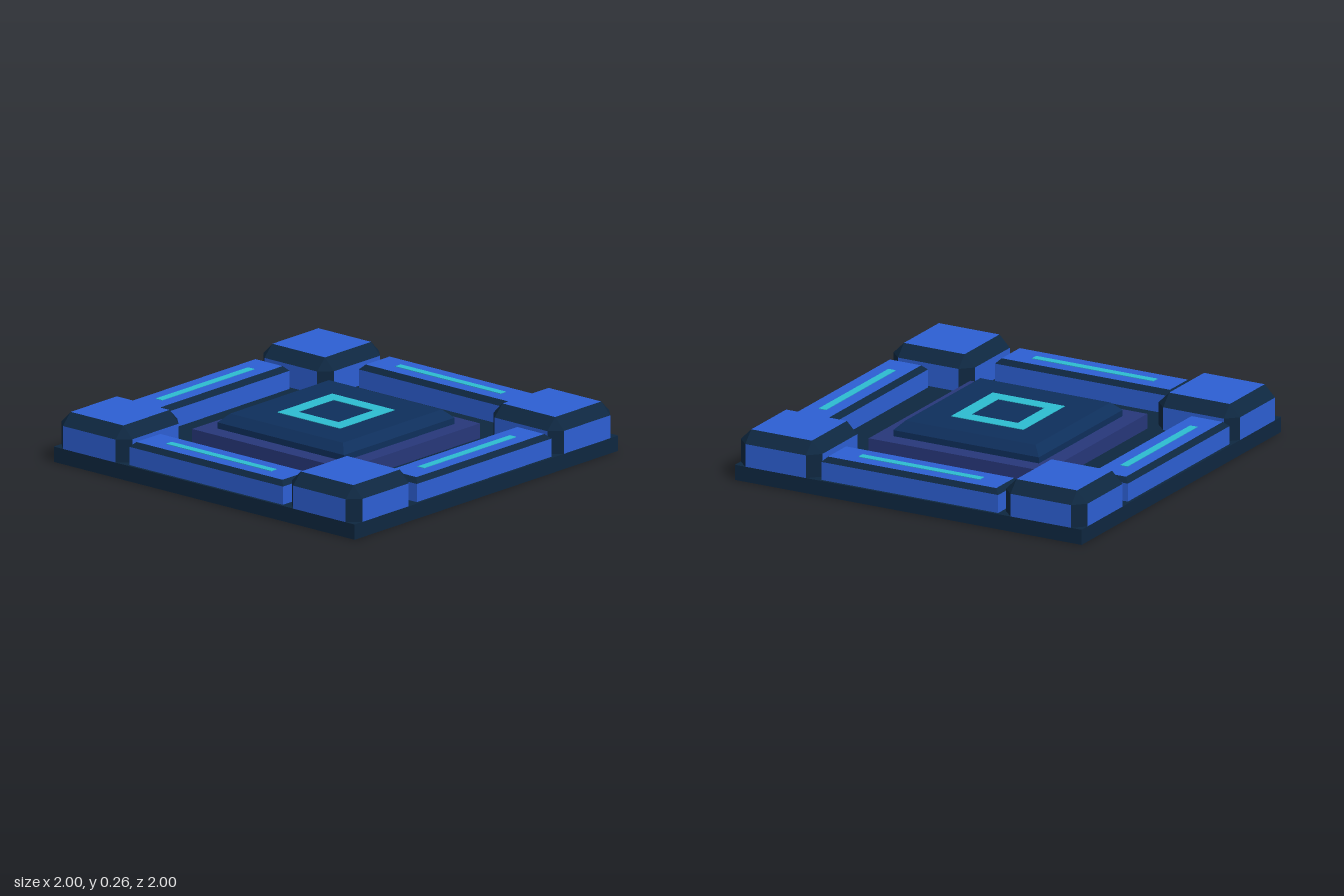
import * as THREE from 'three';

const mat = (name, color) => {
  const m = new THREE.MeshStandardMaterial({ color });
  m.name = name;
  return m;
};

// Block with a chamfered top rim; cut > 0 also chamfers the upright edges.
// Material group 0 holds the flat faces, group 1 the chamfers.
function chamferedBlock(w, d, y0, y2, chamfer, cut) {
  const faces = [], edges = [];
  const tri = (list, a, b, c) => list.push(...a, ...b, ...c);
  const quad = (list, a, b, c, e) => { tri(list, a, b, c); tri(list, a, c, e); };
  const hx = w / 2, hz = d / 2, y1 = y2 - chamfer;
  const corners = [[-1, 1], [1, 1], [1, -1], [-1, -1]];
  // corner c as it meets side s
  const side = (c, s, y) => {
    const [sx, sz] = corners[c % 4];
    return s % 2 === 0 ? [sx * (hx - cut), y, sz * hz] : [sx * hx, y, sz * (hz - cut)];
  };
  const top = (c) => {
    const [sx, sz] = corners[c % 4];
    return [sx * (hx - chamfer), y2, sz * (hz - chamfer)];
  };
  for (let i = 0; i < 4; i++) {
    const j = i + 1;
    quad(faces, side(i, i, y0), side(j, i, y0), side(j, i, y1), side(i, i, y1));
    quad(edges, side(i, i, y1), side(j, i, y1), top(j), top(i));
    if (cut > 0) {
      quad(edges, side(j, i, y0), side(j, j, y0), side(j, j, y1), side(j, i, y1));
      tri(edges, side(j, i, y1), side(j, j, y1), top(j));
    }
  }
  quad(faces, top(0), top(1), top(2), top(3));
  const g = new THREE.BufferGeometry();
  g.setAttribute('position', new THREE.Float32BufferAttribute([...faces, ...edges], 3));
  g.addGroup(0, faces.length / 3, 0);
  g.addGroup(faces.length / 3, edges.length / 3, 1);
  g.computeVertexNormals();
  return g;
}

export function createModel() {
  const root = new THREE.Group();
  root.name = 'floorTile';
  const slate = mat('darkSlate', 0x0e2740);
  const blue = mat('blue', 0x2d5fd3);
  const cyan = mat('cyan', 0x2dbcd0);
  const indigo = mat('indigo', 0x27377a);
  const navy = mat('navy', 0x0e2f5c);

  const add = (parent, name, geometry, material, x = 0, y = 0, z = 0) => {
    const m = new THREE.Mesh(geometry, material);
    m.name = name;
    m.position.set(x, y, z);
    parent.add(m);
    return m;
  };

  // base slab
  add(root, 'baseSlab', new THREE.BoxGeometry(2, 0.08, 2), slate, 0, 0.04, 0);

  // corner blocks
  const cornerGeo = chamferedBlock(0.47, 0.47, 0.08, 0.26, 0.06, 0.06);
  for (const sx of [-1, 1]) for (const sz of [-1, 1])
    add(root, 'cornerBlock', cornerGeo, [blue, slate], sx * 0.765, 0, sz * 0.765);

  // edge bars with glowing strips
  const barGeo = chamferedBlock(1.02, 0.23, 0.08, 0.2, 0.025, 0);
  const stripGeo = new THREE.BoxGeometry(0.7, 0.004, 0.042);
  for (let i = 0; i < 4; i++) {
    const bar = new THREE.Group();
    bar.name = 'edgeBar';
    add(bar, 'barBody', barGeo, [blue, slate], 0, 0, 0.87);
    add(bar, 'lightStrip', stripGeo, cyan, 0, 0.201, 0.87);
    bar.rotation.y = i * Math.PI / 2;
    root.add(bar);
  }

  // centre platform and raised panel
  add(root, 'platform', new THREE.BoxGeometry(1.02, 0.08, 1.02), indigo, 0, 0.118, 0);
  add(root, 'raisedPanel', chamferedBlock(0.84, 0.84, 0.155, 0.235, 0.045, 0), [navy, navy]);

  // square light ring
  const square = (path, h) =>
    path.moveTo(-h, -h).lineTo(h, -h).lineTo(h, h).lineTo(-h, h).closePath();
  const ring = square(new THREE.Shape(), 0.208);
  ring.holes.push(square(new THREE.Path(), 0.134));
  const ringGeo = new THREE.ExtrudeGeometry(ring, { depth: 0.004, bevelEnabled: false });
  ringGeo.rotateX(-Math.PI / 2);
  add(root, 'lightRing', ringGeo, cyan, 0, 0.234, 0);

  return root;
}
